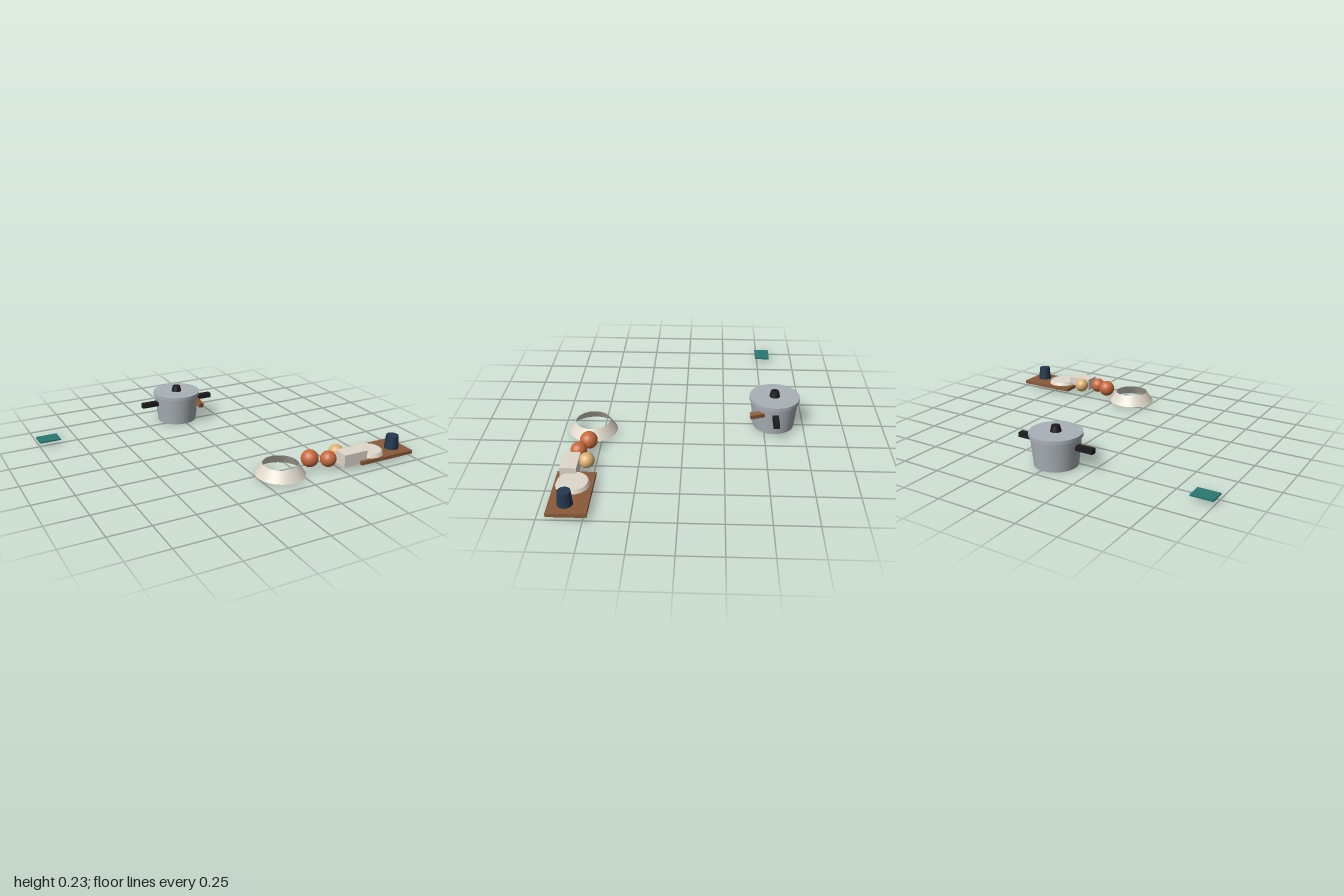
import * as THREE from 'three';

const mat = (color, side = THREE.FrontSide) => new THREE.MeshStandardMaterial({ color, side });
const steel = mat(0xaab2b8);
const black = mat(0x1c1c1e);
const wood = mat(0x8a5a38);
const cream = mat(0xe0d8cb);
const creamOpen = mat(0xe0d8cb, THREE.DoubleSide);
const orange = mat(0xc8693c);
const yellow = mat(0xe0b272);
const navy = mat(0x24384f);
const teal = mat(0x2a7a72);

function add(parent, name, geometry, material, x, y, z) {
  const mesh = new THREE.Mesh(geometry, material);
  mesh.name = name;
  mesh.position.set(x, y, z);
  parent.add(mesh);
  return mesh;
}

const box = (w, h, d) => new THREE.BoxGeometry(w, h, d);

// Round part standing on its own base
function round(parent, name, rTop, rBottom, h, material, x, y0, z, open = false) {
  return add(parent, name, new THREE.CylinderGeometry(rTop, rBottom, h, 40, 1, open), material, x, y0 + h / 2, z);
}

function makePot() {
  const pot = new THREE.Group();
  pot.name = 'cookingPot';
  round(pot, 'potBody', 0.149, 0.13, 0.178, steel, 0, 0, 0);
  round(pot, 'potLid', 0.157, 0.157, 0.022, steel, 0, 0.177, 0);
  round(pot, 'lidKnob', 0.025, 0.033, 0.036, black, 0, 0.199, 0);
  for (const side of [-1, 1]) {
    add(pot, side > 0 ? 'leftHandle' : 'rightHandle', box(0.12, 0.03, 0.037), black, side * 0.195, 0.13, 0);
  }
  // Wooden peg leaning out of the front left wall
  const peg = add(pot, 'woodenPeg', box(0.032, 0.03, 0.09), wood, 0.115, 0.128, 0.11);
  peg.rotation.set(0.2, 0, -0.25);
  pot.position.set(-0.014, 0, -0.563);
  return pot;
}

export function createModel() {
  const model = new THREE.Group();
  model.name = 'kitchenSet';
  model.add(makePot());

  // Folded cloth
  add(model, 'cloth', box(0.135, 0.009, 0.101), teal, -0.9325, 0.03, -0.537);

  // Upturned bowl without a base
  round(model, 'bowl', 0.106, 0.15, 0.066, creamOpen, 0.131, 0.02, 0.563, true);

  // Fruit: name, radius, centre, material
  for (const [name, r, x, y, z, m] of [
    ['largeOrangeFruit', 0.053, 0.335, 0.072, 0.561, orange],
    ['smallOrangeFruit', 0.049, 0.436, 0.066, 0.606, orange],
    ['yellowFruit', 0.046, 0.537, 0.066, 0.543, yellow],
  ]) add(model, name, new THREE.SphereGeometry(r, 28, 18), m, x, y, z);

  add(model, 'carton', box(0.163, 0.079, 0.096), cream, 0.5865, 0.06, 0.629);

  // Serving board with a plate and a cup
  add(model, 'board', box(0.382, 0.022, 0.22), wood, 0.809, 0.031, 0.588);
  round(model, 'plate', 0.087, 0.097, 0.021, cream, 0.736, 0.042, 0.592);
  round(model, 'cup', 0.037, 0.044, 0.085, navy, 0.912, 0.042, 0.605);

  return model;
}
